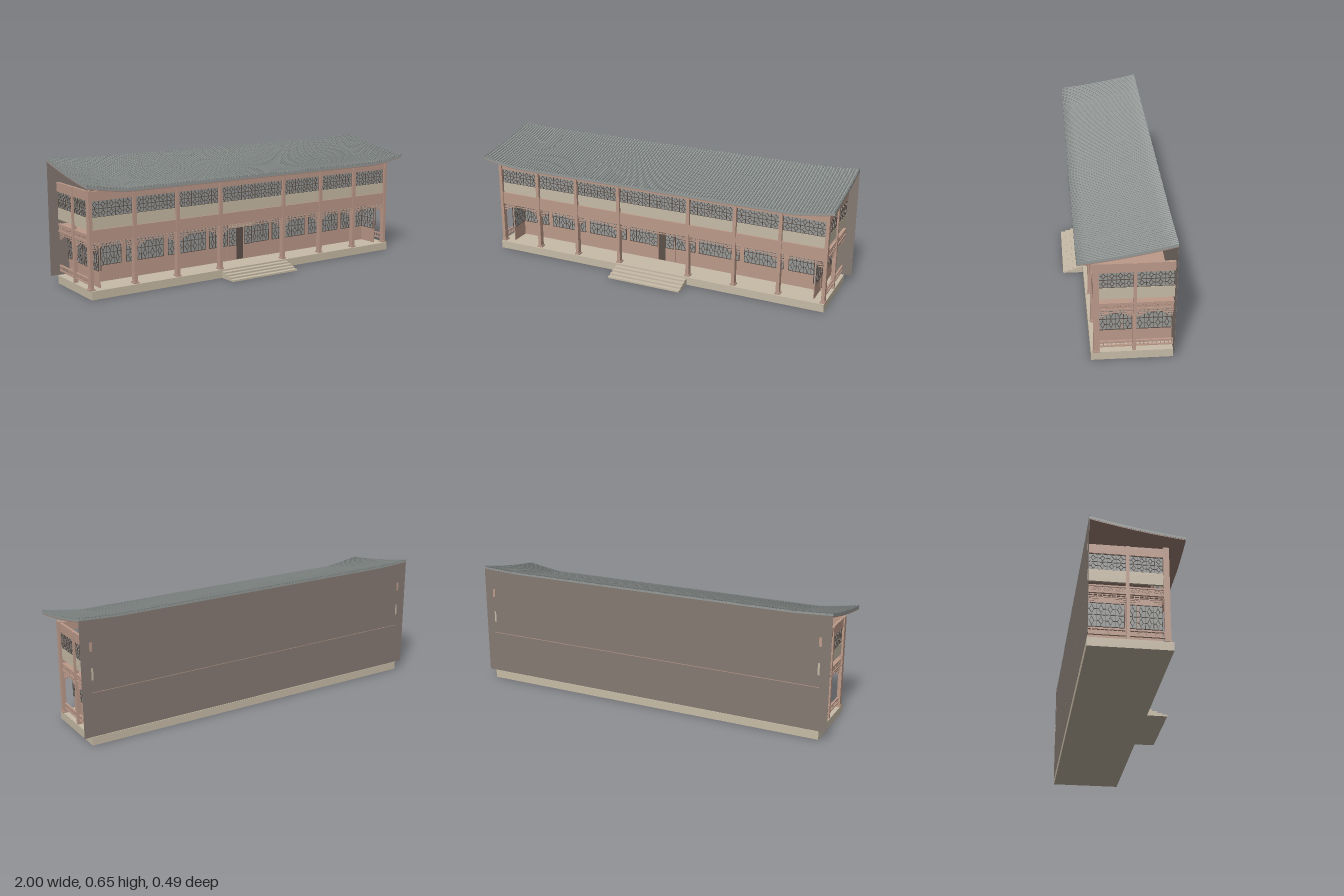
import * as THREE from 'three';
import { mergeGeometries } from 'three/addons/utils/BufferGeometryUtils.js';

export function createModel() {
  const group = new THREE.Group();
  const mat = (name, color) => Object.assign(new THREE.MeshStandardMaterial({ color }), { name });
  const wood = mat('rose wood', 0xbc9a8a);
  const stone = mat('beige stone', 0xc8bca7);
  const glass = mat('grey window', 0x979a98);
  const bars = mat('dark lattice', 0x5e524b);
  const wall = mat('back wall taupe', 0x867a73);
  const tile = mat('roof grey', 0x969b99);
  const rib = mat('tile rib grey', 0x7f8583);
  const under = mat('eave brown', 0xa5877a);

  // Pieces are gathered by part name and merged at the end.
  const parts = new Map();
  const put = (name, material, geo) => {
    if (!parts.has(name)) parts.set(name, { material, list: [] });
    parts.get(name).list.push(geo);
  };
  const world = new THREE.Matrix4();
  const box = (f, name, m, x0, x1, y0, y1, z0, z1) =>
    put(name, m, new THREE.BoxGeometry(x1 - x0, y1 - y0, z1 - z0)
      .translate((x0 + x1) / 2, (y0 + y1) / 2, (z0 + z1) / 2).applyMatrix4(f));
  // Thin bar between two points on a facade plane
  const bar = (f, name, m, x0, y0, x1, y1, t, z) => {
    const g = new THREE.BoxGeometry(Math.hypot(x1 - x0, y1 - y0), t, 0.004);
    g.rotateZ(Math.atan2(y1 - y0, x1 - x0)).translate((x0 + x1) / 2, (y0 + y1) / 2, z);
    put(name, m, g.applyMatrix4(f));
  };
  // Facade frames: local x runs along the facade, local z points outward
  const frontAt = (z) => new THREE.Matrix4().makeTranslation(0, 0, z);
  const sideAt = (s, x) => new THREE.Matrix4().makeRotationY(s * Math.PI / 2).setPosition(s * x, 0, 0);

  // Window with rows of diamonds joined by short bars
  function lattice(f, name, x0, x1, y0, y1, rows) {
    const cols = Math.max(1, Math.round((x1 - x0) / 0.042));
    const cw = (x1 - x0) / cols, ch = (y1 - y0) / rows, t = 0.0022;
    const line = (a, b, c, d, w = t) => bar(f, name + 'Lattice', bars, a, b, c, d, w, 0.001);
    box(f, name + 'Pane', glass, x0, x1, y0, y1, -0.004, 0);
    for (let r = 0; r <= rows; r++) line(x0, y0 + r * ch, x1, y0 + r * ch, 0.003);
    for (let c = 0; c <= cols; c++) line(x0 + c * cw, y0, x0 + c * cw, y1);
    for (let r = 0; r < rows; r++) for (let c = 0; c < cols; c++) {
      const cx = x0 + (c + 0.5) * cw, cy = y0 + (r + 0.5) * ch, a = cw * 0.25, b = ch * 0.34;
      for (const s of [-1, 1]) {
        line(cx + s * a, cy, cx, cy + b);
        line(cx + s * a, cy, cx, cy - b);
        line(cx + s * a, cy, cx + s * cw / 2, cy);
        line(cx, cy + s * b, cx, cy + s * ch / 2);
      }
    }
  }

  // Stepped fretwork hanging under a beam
  function fret(f, x0, x1) {
    const seg = (a, b, c, d) => bar(f, 'fretwork', wood, a, b, c, d, 0.004, 0);
    seg(x0, 0.268, x1, 0.268);
    seg(x0, 0.257, x1, 0.257);
    const n = Math.round((x1 - x0) / 0.022);
    for (let i = 0; i <= n; i++) {
      const x = x0 + (x1 - x0) * i / n;
      seg(x, 0.257, x, 0.268);
    }
    for (const [e, s] of [[x0, 1], [x1, -1]]) {
      seg(e, 0.248, e + s * 0.045, 0.248);
      seg(e + s * 0.045, 0.248, e + s * 0.045, 0.257);
      seg(e, 0.237, e + s * 0.026, 0.237);
      seg(e + s * 0.026, 0.237, e + s * 0.026, 0.248);
      seg(e + s * 0.013, 0.228, e + s * 0.013, 0.237);
    }
  }

  // Scrolled leaf carving
  function carving(f, x) {
    for (const [dx, dy, r, turn] of [[-0.014, 0, 0.006, 0.5], [0, 0.002, 0.0075, 0], [0.014, 0, 0.006, -0.5]])
      put('beamCarving', wood, new THREE.TorusGeometry(r, 0.0017, 4, 10, 5)
        .rotateZ(turn).translate(x + dx, 0.292 + dy, 0.006).applyMatrix4(f));
  }

  // Platform and entrance steps
  box(world, 'platform', stone, -0.96, 0.96, 0, 0.043, -0.245, 0.143);
  for (let i = 0; i < 4; i++)
    box(world, 'steps', stone, -0.21, 0.21, 0, 0.035 - i * 0.0087, 0.14, 0.17 + i * 0.026);

  // Columns with plinths
  const cols = [-0.95, -0.71, -0.465, -0.205, 0.205, 0.465, 0.71, 0.95];
  for (const x of cols) {
    box(world, 'frontColumns', wood, x - 0.009, x + 0.009, 0.043, 0.53, 0.103, 0.131);
    box(world, 'columnPlinths', wood, x - 0.014, x + 0.014, 0.043, 0.051, 0.1, 0.134);
  }

  // Front facade
  const upper = frontAt(0.112), lower = frontAt(0), brackets = frontAt(0.117);
  box(world, 'topBeam', wood, -0.95, 0.95, 0.478, 0.525, 0.104, 0.124);
  box(world, 'floorBeam', wood, -0.95, 0.95, 0.274, 0.338, 0.106, 0.126);
  box(world, 'upperFloor', wood, -0.945, 0.945, 0.288, 0.31, -0.243, 0.11);
  for (let i = 0; i < 7; i++) {
    const a = cols[i] + 0.009, b = cols[i + 1] - 0.009;
    box(upper, 'upperPanels', stone, a, b, 0.336, 0.397, -0.006, 0.004);
    lattice(upper, 'upperWindow', a, b, 0.397, 0.478, 2);
    fret(brackets, a, b);
    if (i === 3) continue;
    const l = Math.max(a, -0.89), r = Math.min(b, 0.89);
    lattice(lower, 'groundWindow', l + 0.006, r - 0.006, 0.128, 0.25, 2);
  }
  for (const s of [-1, 1]) {
    const [l, r] = s < 0 ? [-0.196, -0.08] : [0.08, 0.196];
    lattice(lower, 'groundWindow', l, r, 0.128, 0.25, 2);
    box(lower, 'doorLeaves', wood, s < 0 ? -0.078 : 0.022, s < 0 ? -0.022 : 0.078, 0.047, 0.228, -0.002, 0.005);
    lattice(frontAt(0.008), 'door', s < 0 ? -0.074 : 0.026, s < 0 ? -0.026 : 0.074, 0.128, 0.222, 2);
  }
  box(lower, 'groundWall', wood, -0.9, 0.9, 0.043, 0.288, -0.012, -0.003);
  box(lower, 'doorGap', bars, -0.02, 0.02, 0.047, 0.228, -0.003, 0.003);
  box(lower, 'signBoard', stone, -0.08, 0.08, 0.226, 0.253, 0.008, 0.018);

  // Side facades
  for (const s of [-1, 1]) {
    const outer = sideAt(s, 0.945), inner = sideAt(s, 0.9);
    const span = (a, b) => [-s * a, -s * b].sort((p, q) => p - q);
    const [u0, u1] = span(0.103, -0.2456);
    box(outer, 'sideColumns', wood, ...span(-0.0535, -0.0695), 0.043, 0.525, -0.008, 0.012);
    box(outer, 'topBeam', wood, u0, u1, 0.478, 0.525, -0.006, 0.008);
    box(outer, 'upperPanels', stone, u0, u1, 0.334, 0.395, -0.006, 0.004);
    const [c0, c1] = span(0.115, -0.24);
    box(outer, 'sideCarvedBeam', wood, c0, c1, 0.272, 0.313, -0.004, 0.004);
    for (const y of [0.272, 0.305]) box(outer, 'sideCarvedBeam', wood, c0, c1, y, y + 0.008, -0.006, 0.009);
    for (const z of [0.08, 0.025, -0.025, -0.095, -0.15, -0.205]) carving(outer, -s * z);
    // Veranda railing
    const [v0, v1] = span(0.103, -0.244);
    for (const y of [0.064, 0.09]) box(outer, 'railing', wood, v0, v1, y, y + 0.006, -0.004, 0.006);
    for (let i = 0; i <= 18; i++) {
      const u = v0 + 0.002 + (v1 - v0 - 0.004) * i / 18;
      box(outer, 'railing', wood, u - 0.002, u + 0.002, 0.068, 0.092, -0.002, 0.003);
    }
    // Recessed wall behind the veranda, glazed on its porch side too
    box(inner, 'sideWall', wood, v0, v1, 0.043, 0.288, -0.008, -0.003);
    const [p0, p1] = [s * 0.004, s * 0.101].sort((p, q) => p - q);
    lattice(sideAt(-s, -0.889), 'groundWindow', p0, p1, 0.128, 0.248, 2);
    for (const [a, b] of [[0.103, -0.053], [-0.07, -0.24]]) {
      const [l, r] = span(a, b);
      lattice(outer, 'upperWindow', l, r, 0.395, 0.478, 2);
      lattice(inner, 'groundWindow', l, r, 0.128, 0.248, 2);
      fret(outer, l, r);
    }
  }

  // Roof height: gently concave slope with lifted corners
  const depth = 0.45, midZ = -0.02;
  const height = (x, z) => {
    const u = (0.205 - z) / depth, t = Math.max(0, (Math.abs(x) - 0.78) / 0.22);
    return 0.537 + 0.07 * u + 0.029 * u * u + t ** 1.3 * (0.032 * (1 - u) + 0.011 * u);
  };
  const drape = (g, fixedX) => {
    const p = g.attributes.position;
    for (let i = 0; i < p.count; i++)
      p.setY(i, p.getY(i) + height(fixedX ?? p.getX(i), p.getZ(i)));
    g.computeVertexNormals();
    return g;
  };
  put('roofDeck', tile, drape(new THREE.BoxGeometry(2, 0.014, depth, 50, 1, 10).translate(0, -0.0065, midZ)));
  put('eaveBoards', under, drape(new THREE.BoxGeometry(1.998, 0.004, depth - 0.002, 50, 1, 10).translate(0, -0.0155, midZ)));

  // Tile ribs running down the slope
  const ribs = 120;
  for (let i = 0; i < ribs; i++) {
    const x = -0.995 + 1.99 * i / (ribs - 1);
    put('tileRibs', rib, drape(new THREE.CylinderGeometry(0.0048, 0.0048, depth, 6, 8)
      .rotateX(Math.PI / 2).translate(x, 0.001, midZ), x));
  }

  // Back wall rising to the underside of the roof
  const outline = new THREE.Shape().moveTo(-1, 0.045).lineTo(1, 0.045);
  for (let i = 0; i <= 40; i++) {
    const x = 1 - i / 20;
    outline.lineTo(x, height(x, -0.245) - 0.01);
  }
  put('backWall', wall, new THREE.ExtrudeGeometry(outline, { depth: 0.001, bevelEnabled: false }).translate(0, 0, -0.2452));
  box(world, 'backWallSeam', wood, -0.95, 0.95, 0.27, 0.273, -0.2456, -0.244);

  for (const [name, { material, list }] of parts) {
    const mesh = new THREE.Mesh(list.length > 1 ? mergeGeometries(list) : list[0], material);
    mesh.name = name;
    group.add(mesh);
  }
  return group;
}
